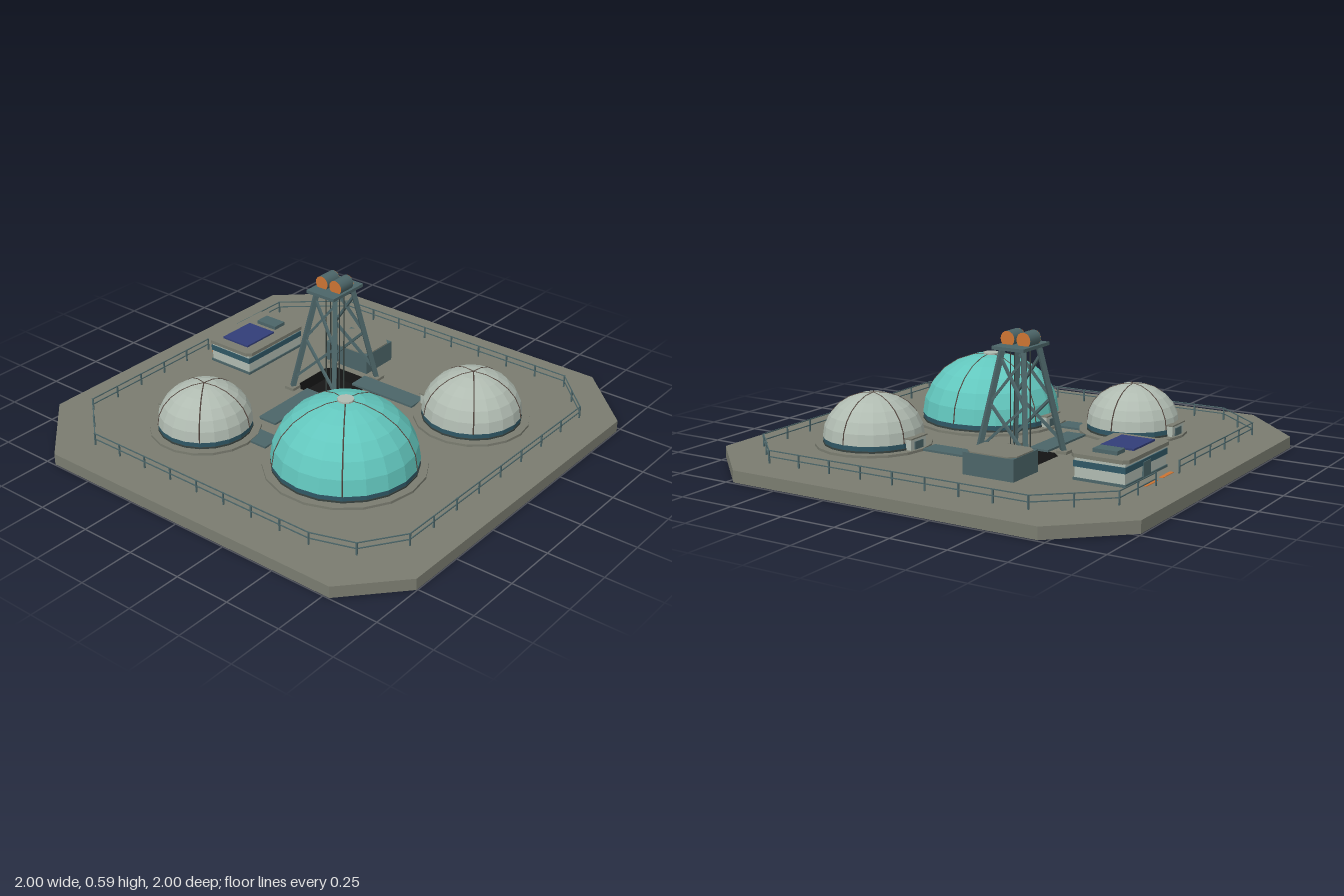
import * as THREE from 'three';

const mat = (name, color) => {
  const m = new THREE.MeshStandardMaterial({ color, side: THREE.DoubleSide });
  m.name = name;
  return m;
};

export function createModel() {
  const root = new THREE.Group();
  root.name = 'domeBase';
  const M = {
    ground: mat('concrete', 0x7a7c70),
    glass: mat('tealGlass', 0x62c6bd),
    shell: mat('paleShell', 0xb0bbb1),
    steel: mat('slateSteel', 0x4c6568),
    band: mat('blueBand', 0x2f5765),
    dark: mat('darkTrim', 0x38423f),
    rib: mat('brownRib', 0x51453e),
    black: mat('shaftBlack', 0x161616),
    navy: mat('solarBlue', 0x323e78),
    orange: mat('orange', 0xcc7433),
  };

  // Helpers
  const add = (name, geo, m, x = 0, y = 0, z = 0, parent = root) => {
    const mesh = new THREE.Mesh(geo, m);
    mesh.name = name;
    mesh.position.set(x, y, z);
    parent.add(mesh);
    return mesh;
  };
  const flat = (g) => {
    const f = g.index ? g.toNonIndexed() : g;
    f.computeVertexNormals();
    return f;
  };
  const box = (name, x0, x1, y0, y1, z0, z1, m, parent) =>
    add(name, new THREE.BoxGeometry(x1 - x0, y1 - y0, z1 - z0), m,
      (x0 + x1) / 2, (y0 + y1) / 2, (z0 + z1) / 2, parent);
  const cyl = (name, r, y0, y1, sides, m, x, z, parent) =>
    add(name, flat(new THREE.CylinderGeometry(r, r, y1 - y0, sides)), m, x, (y0 + y1) / 2, z, parent);
  const beam = (name, a, b, w, m, parent) => {
    const A = new THREE.Vector3(...a), B = new THREE.Vector3(...b);
    const mesh = add(name, new THREE.BoxGeometry(w, w, A.distanceTo(B)), m, 0, 0, 0, parent);
    mesh.position.copy(A).lerp(B, 0.5);
    mesh.lookAt(B);
  };
  const toShape = (pts) => new THREE.Shape(pts.map(([x, z]) => new THREE.Vector2(x, -z)));
  // Flat sheet facing up
  const sheet = (name, pts, y, m, hole, parent) => {
    const shape = toShape(pts);
    if (hole) shape.holes.push(toShape(hole));
    add(name, new THREE.ShapeGeometry(shape).rotateX(-Math.PI / 2), m, 0, y, 0, parent);
  };
  // Solid slab between y0 and y1
  const slab = (name, pts, y0, y1, m, parent) => {
    const g = new THREE.ExtrudeGeometry(toShape(pts), { depth: y1 - y0, bevelEnabled: false });
    add(name, g.rotateX(-Math.PI / 2), m, 0, y0, 0, parent);
  };
  // Upright wall around an outline listed clockwise from above
  const wall = (name, pts, y0, y1, m, parent) => {
    const pos = [];
    pts.forEach(([ax, az], i) => {
      const [bx, bz] = pts[(i + 1) % pts.length];
      pos.push(ax, y0, az, ax, y1, az, bx, y1, bz, ax, y0, az, bx, y1, bz, bx, y0, bz);
    });
    const g = new THREE.BufferGeometry();
    g.setAttribute('position', new THREE.Float32BufferAttribute(pos, 3));
    // Outlines run so that the corners need turning to face outwards
    g.scale(1, 1, 1).computeVertexNormals();
    add(name, g, m, 0, 0, 0, parent);
  };
  const chamfered = (x0, x1, z0, z1, c) => [
    [x0 + c, z0], [x1 - c, z0], [x1, z0 + c], [x1, z1 - c],
    [x1 - c, z1], [x0 + c, z1], [x0, z1 - c], [x0, z0 + c]].reverse();
  const group = (name) => {
    const g = new THREE.Group();
    g.name = name;
    root.add(g);
    return g;
  };

  // Hollow platform: deck, skirt and the shaft hanging beneath it
  const TOP = 0.055;
  const rim = [[-0.7, -1], [0.74, -1], [1, -0.72], [1, 0.71], [0.72, 1], [-0.76, 1], [-1, 0.78], [-1, -0.7]].reverse();
  const platform = group('platform');
  const shaft = chamfered(0.078, 0.342, -0.297, -0.035, 0.038);
  sheet('deck', rim, TOP, M.ground, shaft, platform);
  wall('skirt', rim, 0.004, TOP, M.ground, platform);
  wall('shaftCasing', shaft, 0, TOP, M.ground, platform);
  const bore = chamfered(0.08, 0.34, -0.295, -0.037, 0.038);
  wall('shaftBore', bore, 0, TOP, M.black, platform);
  sheet('shaftFloor', bore, 0, M.black, null, platform);

  // Domes with ribs, base bands and an airlock at the back
  const dome = (name, x, z, r, top, skin, cap) => {
    const g = group(name), spring = 0.095, h = top - spring;
    cyl('footing', r + 0.035, TOP, 0.066, 18, M.ground, x, z, g);
    cyl('baseRing', r, 0.066, 0.074, 20, M.dark, x, z, g);
    cyl('blueBand', r - 0.002, 0.074, spring, 20, M.band, x, z, g);
    const shell = new THREE.SphereGeometry(r, 20, 6, 0, Math.PI * 2, 0, Math.PI / 2);
    add('shell', flat(shell.scale(1, h / r, 1)), skin, x, spring, z, g);
    for (let i = 0; i < 5; i++) {
      const rib = new THREE.TorusGeometry(r - 0.0005, 0.003, 4, 6, Math.PI / 2).scale(1, h / r, 1);
      add('rib', flat(rib), M.rib, x, spring, z, g).rotation.y = i * Math.PI * 2 / 5;
    }
    if (cap) cyl('crownCap', 0.035, top - 0.004, top + 0.004, 12, M.shell, x, z, g);
    const zb = z - r;
    box('airlock', x - 0.055, x + 0.055, TOP, 0.112, zb - 0.015, zb + 0.06, M.shell, g);
    box('airlockRoof', x - 0.06, x + 0.06, 0.112, 0.118, zb - 0.02, zb + 0.06, M.ground, g);
    box('airlockDoor', x - 0.03, x + 0.03, TOP, 0.1, zb - 0.019, zb - 0.014, M.steel, g);
  };
  dome('largeDome', -0.3, 0.3, 0.312, 0.364, M.glass, true);
  dome('rearDome', -0.437, -0.36, 0.206, 0.272, M.shell, false);
  dome('frontDome', 0.35, 0.485, 0.219, 0.282, M.shell, false);

  // Walkways
  box('walkwayToTower', -0.24, 0.09, TOP, 0.064, -0.23, -0.135, M.steel);
  box('walkwayBetweenDomes', -0.415, -0.315, TOP, 0.064, -0.16, -0.04, M.steel);
  box('walkwayToFrontDome', 0.25, 0.345, TOP, 0.064, -0.1, 0.235, M.steel);

  // Headframe tower
  const tower = group('tower');
  const cx = 0.218, cz = -0.173;
  const leg = (s, t, k) => [cx + s * (0.155 - 0.095 * k), TOP + 0.47 * k, cz + t * (0.12 - 0.07 * k)];
  for (const s of [-1, 1]) {
    for (const t of [-1, 1]) {
      const f = leg(s, t, 0);
      box('foot', f[0] - 0.025, f[0] + 0.025, TOP, 0.068, f[2] - 0.025, f[2] + 0.025, M.ground, tower);
      beam('leg', f, leg(s, t, 1), 0.021, M.steel, tower);
    }
    // Cross braces on the two sides
    for (const [a, b] of [[0.12, 0.52], [0.52, 0.92]]) {
      beam('brace', leg(s, -1, a), leg(s, 1, b), 0.011, M.steel, tower);
      beam('brace', leg(s, 1, a), leg(s, -1, b), 0.011, M.steel, tower);
    }
  }
  box('headDeck', 0.115, 0.323, 0.522, 0.536, -0.25, -0.097, M.steel, tower);
  for (const z of [-0.134, -0.21]) {
    const drum = new THREE.CylinderGeometry(0.033, 0.033, 0.084, 16).rotateZ(Math.PI / 2);
    add('hoistDrum', drum, M.steel, cx - 0.003, 0.559, z, tower);
    for (const s of [-1, 1]) {
      const face = new THREE.CircleGeometry(0.033, 16).rotateY(s * Math.PI / 2);
      add('hoistWheel', face, M.orange, cx - 0.003 + s * 0.043, 0.559, z, tower);
      box('cable', cx + s * 0.016 - 0.002, cx + s * 0.016 + 0.002, 0.005, 0.53, z - 0.002, z + 0.002, M.dark, tower);
    }
  }

  // Storage container
  const store = group('container');
  box('body', 0.375, 0.563, TOP, 0.148, -0.35, -0.112, M.steel, store);
  slab('lid', chamfered(0.377, 0.561, -0.348, -0.114, 0.03), 0.148, 0.153, M.ground, store);

  // Control hut
  const hut = group('hut');
  box('walls', 0.037, 0.397, TOP, 0.15, -0.755, -0.53, M.shell, hut);
  box('windowBand', 0.033, 0.401, 0.11, 0.135, -0.759, -0.526, M.band, hut);
  box('plinth', 0.032, 0.402, TOP, 0.066, -0.76, -0.525, M.steel, hut);
  slab('roof', chamfered(0.022, 0.412, -0.77, -0.515, 0.02), 0.15, 0.166, M.ground, hut);
  box('solarPanel', 0.072, 0.257, 0.166, 0.174, -0.72, -0.57, M.navy, hut);
  box('roofUnit', 0.287, 0.354, 0.166, 0.182, -0.697, -0.588, M.steel, hut);
  box('door', 0.19, 0.25, TOP, 0.125, -0.763, -0.754, M.steel, hut);
  for (const x of [0.097, 0.24]) box('groundMarking', x, x + 0.1, TOP, 0.057, -0.82, -0.802, M.orange);

  // Perimeter fence with a gap behind the hut
  const fence = group('fence');
  const path = [[0.31, -0.845], [0.615, -0.845], [0.84, -0.585], [0.84, 0.655], [0.64, 0.855], [-0.605, 0.855],
    [-0.78, 0.735], [-0.84, 0.55], [-0.84, -0.62], [-0.64, -0.845], [0.1, -0.845]];
  const post = (x, z) => box('post', x - 0.003, x + 0.003, TOP, 0.112, z - 0.003, z + 0.003, M.steel, fence);
  for (let i = 0; i + 1 < path.length; i++) {
    const [ax, az] = path[i], [bx, bz] = path[i + 1];
    for (const y of [0.084, 0.11]) beam('rail', [ax, y, az], [bx, y, bz], 0.004, M.steel, fence);
    const n = Math.max(1, Math.round(Math.hypot(bx - ax, bz - az) / 0.15));
    for (let k = 0; k < n; k++) post(ax + (bx - ax) * k / n, az + (bz - az) * k / n);
  }
  post(0.1, -0.845);

  return root;
}
